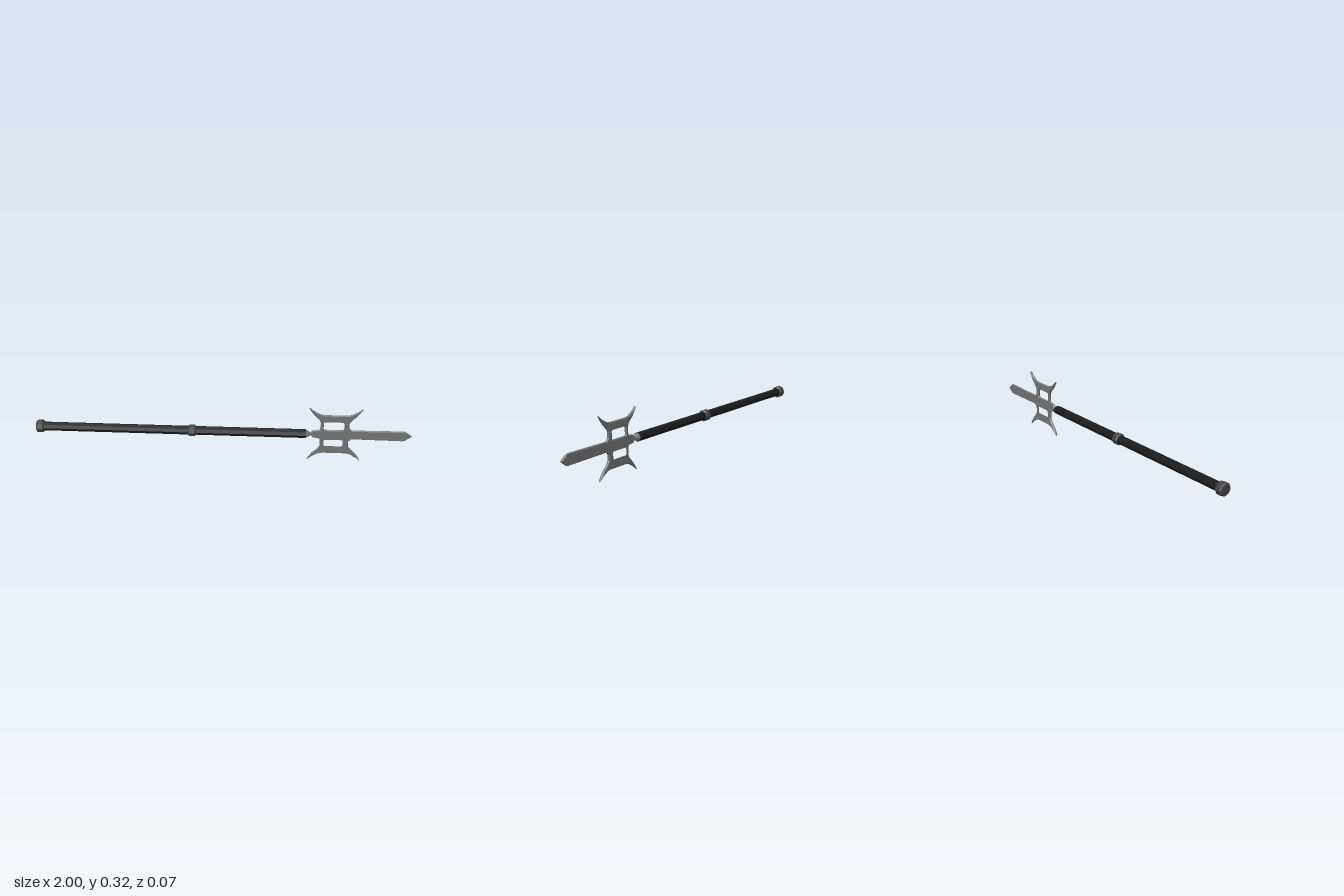
import * as THREE from 'three';

const AXIS_Y = 0.16; // height of the shaft axis

const steel = new THREE.MeshStandardMaterial({ color: 0x747474 });
steel.name = 'steel';
const darkSteel = new THREE.MeshStandardMaterial({ color: 0x424242 });
darkSteel.name = 'darkSteel';
const blackGrip = new THREE.MeshStandardMaterial({ color: 0x1c1c1c });
blackGrip.name = 'blackGrip';

// Faceted eight-sided turning along x; profile is [x, radius] from left to right
function turned(name, material, profile) {
  const points = profile.map(([x, r]) => new THREE.Vector2(r, x));
  const geometry = new THREE.LatheGeometry(points, 8).rotateZ(-Math.PI / 2).toNonIndexed();
  geometry.computeVertexNormals();
  const mesh = new THREE.Mesh(geometry, material);
  mesh.name = name;
  return mesh;
}

// Octagonal collar with chamfered rims
function collar(name, x0, x1, r) {
  const c = 0.008;
  return turned(name, darkSteel, [
    [x0, 0], [x0, r - c], [x0 + c, r], [x1 - c, r], [x1, r - c], [x1, 0],
  ]);
}

// Flat spearhead with horned guards above and below the blade
function spearhead() {
  const upper = [
    [0.45, 0.009], [0.465, 0.009], [0.478, 0.023], [0.495, 0.024], [0.515, 0.029],
    [0.517, 0.07], [0.508, 0.088], [0.48, 0.115], [0.463, 0.138], [0.452, 0.16],
    [0.477, 0.141], [0.51, 0.122], [0.535, 0.117],
    [0.652, 0.117], [0.677, 0.122], [0.71, 0.141], [0.735, 0.16],
    [0.724, 0.138], [0.707, 0.115], [0.679, 0.088], [0.667, 0.07],
    [0.667, 0.042], [0.682, 0.027], [0.95, 0.03], [0.963, 0.027],
  ];
  const lower = upper.map(([x, y]) => [x, -y]).reverse();
  const outline = [...upper, [1, 0], ...lower].map(([x, y]) => new THREE.Vector2(x, y));
  const shape = new THREE.Shape(outline);

  // Chamfered window on each side of the blade
  for (const s of [1, -1]) {
    const window = [
      [0.533, 0.033], [0.539, 0.027], [0.635, 0.027], [0.641, 0.033],
      [0.641, 0.068], [0.635, 0.074], [0.539, 0.074], [0.533, 0.068],
    ];
    shape.holes.push(new THREE.Path(window.map(([x, y]) => new THREE.Vector2(x, s * y))));
  }

  const geometry = new THREE.ExtrudeGeometry(shape, {
    depth: 0.002, bevelEnabled: true, bevelSegments: 1,
    bevelThickness: 0.006, bevelSize: 0.004, bevelOffset: -0.004,
  });
  geometry.translate(0, 0, -0.001);
  const mesh = new THREE.Mesh(geometry, steel);
  mesh.name = 'spearhead';
  return mesh;
}

export function createModel() {
  const model = new THREE.Group();
  model.name = 'polearm';

  const weapon = new THREE.Group();
  weapon.name = 'weapon';
  weapon.position.y = AXIS_Y;
  model.add(weapon);

  weapon.add(
    turned('shaft', blackGrip, [[-0.98, 0], [-0.98, 0.024], [0.44, 0.024], [0.44, 0]]),
    collar('pommel', -1, -0.957, 0.035),
    collar('middleCollar', -0.185, -0.142, 0.032),
    // Tapered socket holding the blade
    turned('socket', steel, [[0.438, 0], [0.438, 0.022], [0.446, 0.02], [0.466, 0.007], [0.47, 0]]),
    spearhead(),
  );
  return model;
}
